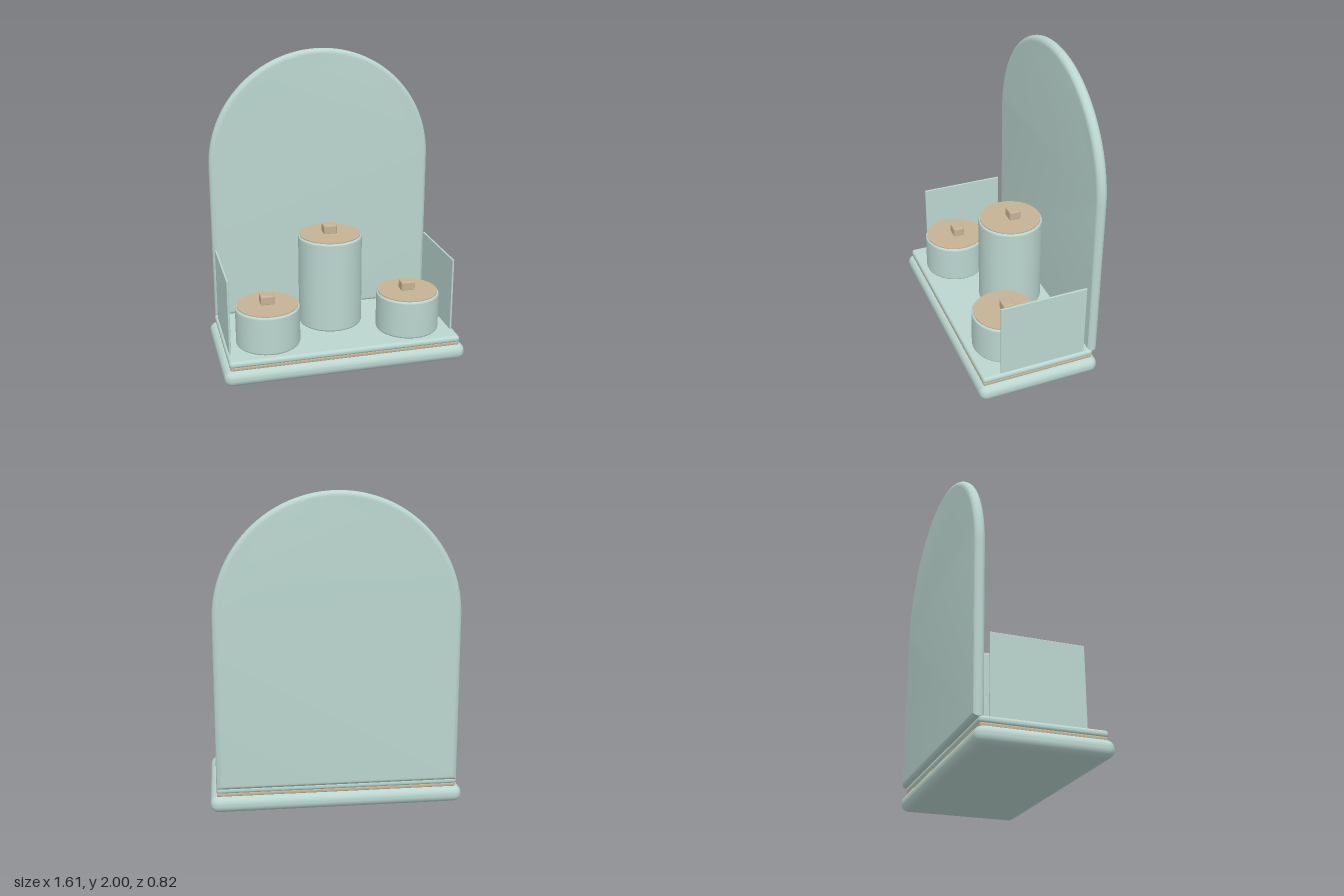
import * as THREE from 'three';
import { toCreasedNormals } from 'three/addons/utils/BufferGeometryUtils.js';
import { RoundedBoxGeometry } from 'three/addons/geometries/RoundedBoxGeometry.js';

const sage = new THREE.MeshStandardMaterial({ color: 0xbad5cf });
sage.name = 'sage';
const tan = new THREE.MeshStandardMaterial({ color: 0xc4b294 });
tan.name = 'tan';

function add(parent, name, geometry, material, x, y, z) {
  const mesh = new THREE.Mesh(geometry, material);
  mesh.name = name;
  mesh.position.set(x, y, z);
  parent.add(mesh);
  return mesh;
}

// Box with rounded edges, placed by its bottom height
function roundedBox(parent, name, material, [w, h, d], r, x, y, z) {
  return add(parent, name, new RoundedBoxGeometry(w, h, d, 5, r), material, x, y + h / 2, z);
}

// Arched panel with fully rounded rim
function archGeometry(halfWidth, bottom, top, thickness) {
  const r = thickness / 2 - 0.001;
  const w = halfWidth - r;
  const spring = top - halfWidth;
  const shape = new THREE.Shape();
  shape.moveTo(-w, bottom + r);
  shape.lineTo(w, bottom + r);
  shape.lineTo(w, spring);
  shape.absarc(0, spring, w, 0, Math.PI, false);
  shape.closePath();
  const geometry = new THREE.ExtrudeGeometry(shape, {
    depth: 0.002, bevelThickness: r, bevelSize: r, bevelSegments: 10, curveSegments: 48,
  });
  geometry.translate(0, 0, -0.001);
  return toCreasedNormals(geometry, 0.6);
}

// Canister: softly rounded body, inset lid, small block knob
function canister(name, radius, height, x, z) {
  const group = new THREE.Group();
  group.name = name;
  group.position.set(x, 0.165, z);
  const e = 0.015;
  const profile = [new THREE.Vector2(0, 0)];
  for (const [cy, start] of [[e, -Math.PI / 2], [height - e, 0]]) {
    for (let i = 0; i <= 5; i++) {
      const a = start + (i / 5) * Math.PI / 2;
      profile.push(new THREE.Vector2(radius - e + e * Math.cos(a), cy + e * Math.sin(a)));
    }
  }
  profile.push(new THREE.Vector2(0, height));
  add(group, 'canisterBody', new THREE.LatheGeometry(profile, 64), sage, 0, 0, 0);
  add(group, 'canisterLid', new THREE.CylinderGeometry(radius - 0.011, radius - 0.011, 0.012, 64),
    tan, 0, height, 0);
  roundedBox(group, 'lidKnob', tan, [0.09, 0.065, 0.078], 0.01, 0, height, -0.02);
  return group;
}

export function createModel() {
  const model = new THREE.Group();
  model.name = 'vanityStand';

  // Stepped base with a tan line between the tiers
  roundedBox(model, 'baseTier', sage, [1.61, 0.107, 0.814], 0.05, 0, 0.003, 0.004);
  roundedBox(model, 'trimStrip', tan, [1.53, 0.03, 0.75], 0.012, 0, 0.102, 0.004);
  roundedBox(model, 'trayTier', sage, [1.54, 0.044, 0.76], 0.02, 0, 0.124, 0.004);

  // Tall arched back
  add(model, 'backPanel', archGeometry(0.766, 0.16, 2, 0.068), sage, 0, 0, -0.375);

  // Thin side screens
  for (const side of [-1, 1]) {
    roundedBox(model, side > 0 ? 'leftScreen' : 'rightScreen', sage,
      [0.013, 0.505, 0.575], 0.004, side * 0.749, 0.163, -0.026);
  }

  // Three lidded canisters
  model.add(canister('tallCanister', 0.215, 0.627, 0, -0.105));
  for (const side of [-1, 1]) {
    model.add(canister(side > 0 ? 'leftCanister' : 'rightCanister', 0.211, 0.262, side * 0.479, 0.13));
  }
  return model;
}
